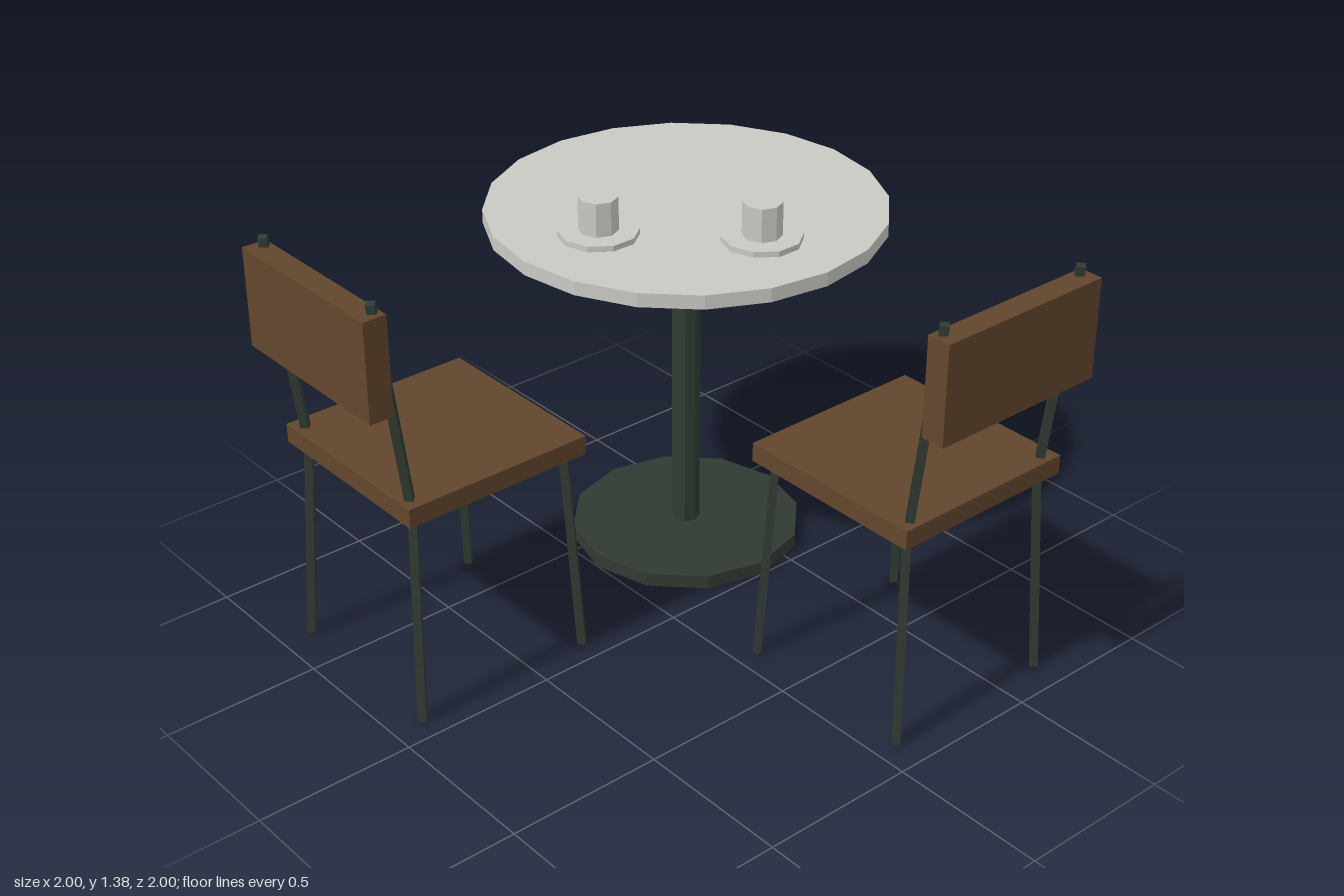
import * as THREE from 'three';

const mat = (name, color) => {
  const m = new THREE.MeshStandardMaterial({ color, flatShading: true });
  m.name = name;
  return m;
};

export function createModel() {
  const wood = mat('brown wood', 0x62462d);
  const metal = mat('dark metal', 0x303a32);
  const stone = mat('pale grey', 0xc9c9c4);
  const model = new THREE.Group();
  model.name = 'cafeTableSet';

  const add = (parent, name, geometry, material) => {
    const mesh = new THREE.Mesh(geometry, material);
    mesh.name = name;
    parent.add(mesh);
    return mesh;
  };

  // Upright faceted disc between two heights, with a corner on the x axis
  const disc = (parent, name, r, y0, y1, sides, material) => {
    const g = new THREE.CylinderGeometry(r, r, y1 - y0, sides);
    g.rotateY(Math.PI / 2).translate(0, (y0 + y1) / 2, 0);
    return add(parent, name, g, material);
  };

  // Four-sided metal rod between two points
  const rod = (parent, name, a, b) => {
    const from = new THREE.Vector3(...a), to = new THREE.Vector3(...b);
    const dir = to.clone().sub(from);
    const mesh = add(parent, name, new THREE.CylinderGeometry(0.018, 0.018, dir.length(), 4), metal);
    mesh.position.copy(from).add(to).multiplyScalar(0.5);
    mesh.quaternion.setFromUnitVectors(new THREE.Vector3(0, 1, 0), dir.normalize());
  };

  const box = (parent, name, w, y0, y1, z0, z1) => {
    const g = new THREE.BoxGeometry(w, y1 - y0, z1 - z0);
    g.translate(0, (y0 + y1) / 2, (z0 + z1) / 2);
    add(parent, name, g, wood);
  };

  // Pedestal table
  const table = new THREE.Group();
  table.name = 'table';
  table.position.set(0.374, 0, -0.376);
  disc(table, 'tableBase', 0.375, 0, 0.045, 12, metal);
  disc(table, 'tableColumn', 0.045, 0.045, 1.127, 8, metal);
  disc(table, 'tableTop', 0.624, 1.127, 1.172, 20, stone);
  model.add(table);

  // Cups on saucers, one before each chair
  for (const [x, z] of [[-0.346, 0], [0, 0.342]]) {
    const setting = new THREE.Group();
    setting.name = 'cupAndSaucer';
    setting.position.set(x, 0, z);
    disc(setting, 'saucer', 0.124, 1.172, 1.19, 10, stone);
    disc(setting, 'cup', 0.061, 1.19, 1.298, 8, stone);
    table.add(setting);
  }

  // Chair with its back at +z
  const chair = (name) => {
    const g = new THREE.Group();
    g.name = name;
    box(g, 'seat', 0.624, 0.675, 0.735, 0.281, 0.905);
    box(g, 'backrest', 0.594, 1.035, 1.345, 0.924, 1);
    for (const s of [-1, 1]) {
      rod(g, 'frontLeg', [s * 0.294, 0, 0.299], [s * 0.265, 0.69, 0.331]);
      rod(g, 'backLeg', [s * 0.294, 0, 0.894], [s * 0.265, 0.69, 0.862]);
      rod(g, 'backPost', [s * 0.265, 0.69, 0.864], [s * 0.265, 1.375, 0.951]);
    }
    model.add(g);
    return g;
  };

  chair('frontChair').position.x = 0.374;
  const side = chair('sideChair');
  side.rotation.y = -Math.PI / 2;
  side.position.z = -0.376;

  return model;
}
